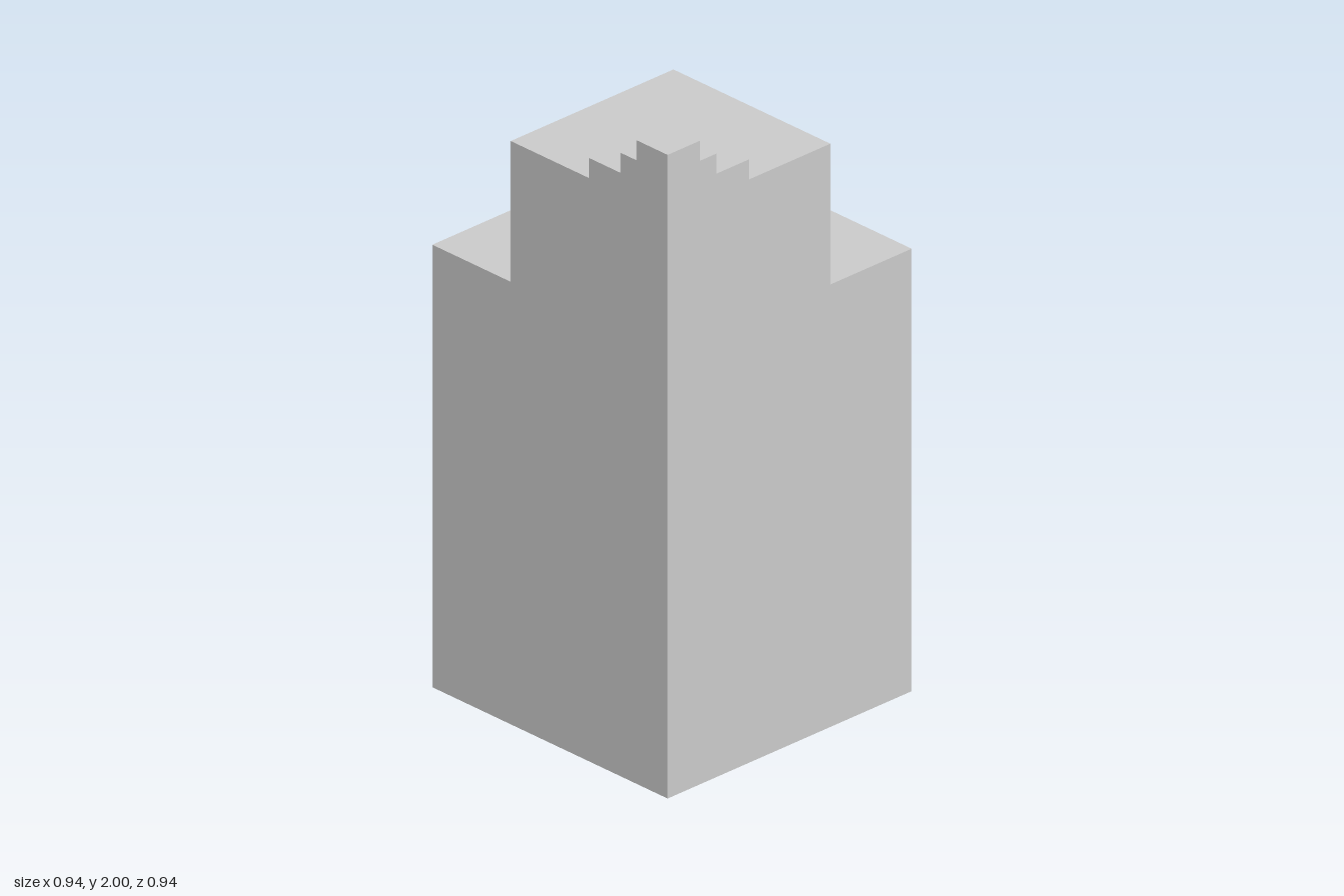
import * as THREE from 'three';

const U = 1 / 16;      // grid unit
const E = 7.5;         // half width of the tower, in units
const material = new THREE.MeshStandardMaterial({ color: 0xcccccc, flatShading: true });

// A layer in the +x +z corner reaching back to `start`; if `notch` is given,
// the square between start and notch is cut away, leaving an L.
function layer(name, start, bottom, top, notch) {
  const outline = notch === undefined
    ? [[start, start], [start, E], [E, E], [E, start]]
    : [[start, notch], [start, E], [E, E], [E, start], [notch, start], [notch, notch]];
  const shape = new THREE.Shape(outline.map(([x, z]) => new THREE.Vector2(x * U, -z * U)));
  const geometry = new THREE.ExtrudeGeometry(shape, { depth: (top - bottom) * U, bevelEnabled: false });
  geometry.rotateX(-Math.PI / 2);
  geometry.translate(0, bottom * U, 0);
  const mesh = new THREE.Mesh(geometry, material);
  mesh.name = name;
  return mesh;
}

export function createModel() {
  const group = new THREE.Group();
  group.name = 'steppedTower';
  group.add(
    layer('base', -E, 0, 19),
    layer('lowerTerrace', -E, 19, 22, -2.5),   // notched at the back corner
    layer('upperBlock', -2.5, 22, 29),
    layer('lowerStep', 2.5, 29, 30, 4.5),      // L-shaped step
    layer('middleStep', 4.5, 30, 31),
    layer('topStep', 5.5, 31, 32),
  );
  return group;
}
